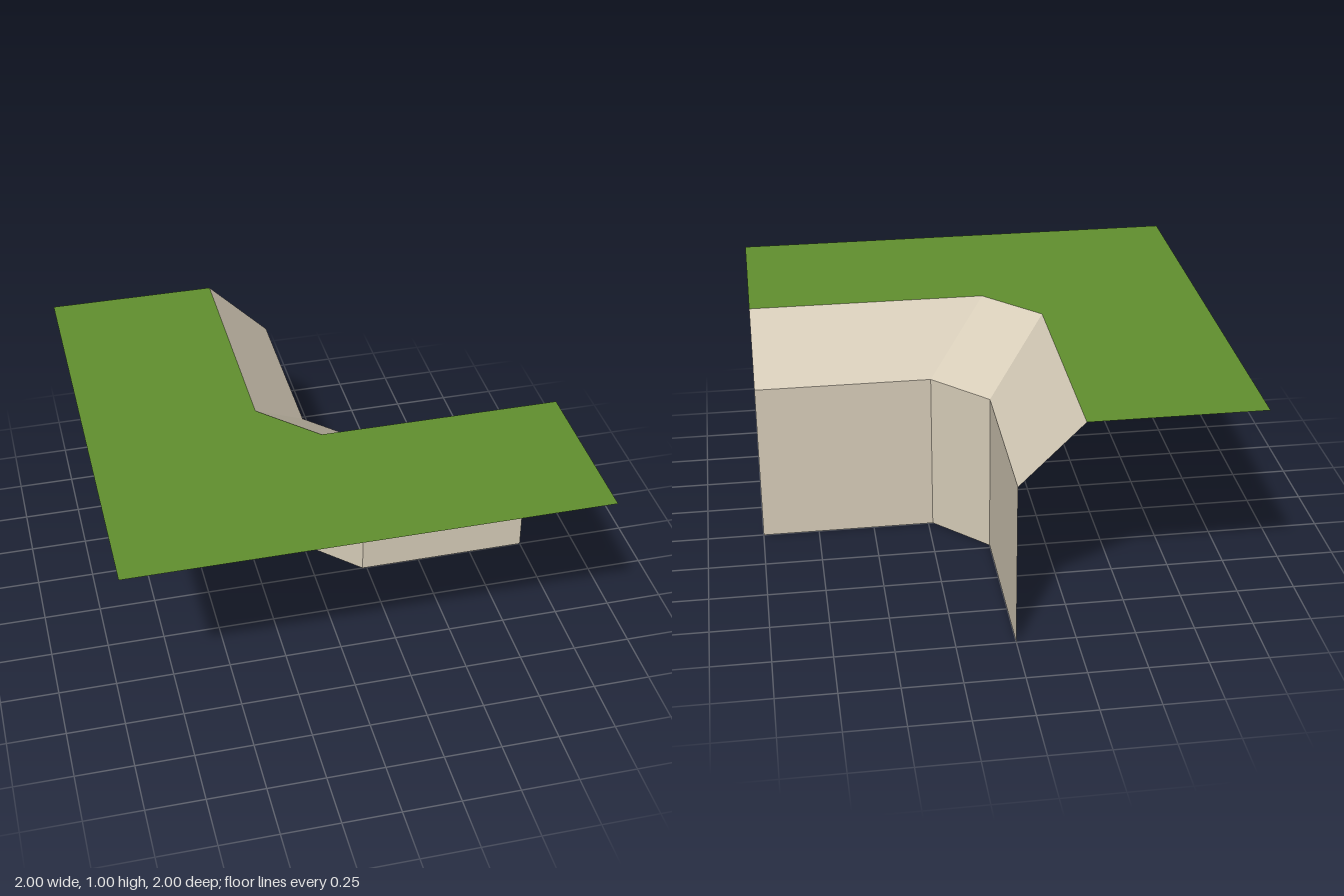
import * as THREE from 'three';

const stone = new THREE.MeshStandardMaterial({ name: 'stone', color: 0xd6ccb8, side: THREE.DoubleSide });
const grass = new THREE.MeshStandardMaterial({ name: 'grass', color: 0x61902e, side: THREE.DoubleSide });

// Plan outlines as [x, z]
const WALL = [[0, -1], [0, -0.23], [0.23, 0], [1, 0]];
const RIM = [[-0.268, -1], [-0.268, 0.035], [-0.035, 0.268], [1, 0.268]];
const WALL_TOP = 0.732;

// Flat-faced strip between two outlines at different heights
function strip(name, lower, y0, upper, y1) {
  const pos = [];
  for (let i = 0; i < lower.length - 1; i++) {
    const at = (p, y) => [p[0], y, p[1]];
    const a = at(lower[i], y0), b = at(upper[i], y1);
    const c = at(upper[i + 1], y1), d = at(lower[i + 1], y0);
    pos.push(...a, ...b, ...c, ...a, ...c, ...d);
  }
  const geo = new THREE.BufferGeometry();
  geo.setAttribute('position', new THREE.Float32BufferAttribute(pos, 3));
  geo.computeVertexNormals();
  const mesh = new THREE.Mesh(geo, stone);
  mesh.name = name;
  return mesh;
}

export function createModel() {
  const group = new THREE.Group();
  group.name = 'cliffCorner';

  // Vertical cliff face and the slope leaning back above it
  group.add(strip('cliffWall', WALL, 0, WALL, WALL_TOP));
  group.add(strip('cliffSlope', WALL, WALL_TOP, RIM, 1));

  // L-shaped grass plateau
  const outline = [...RIM, [1, 1], [-1, 1], [-1, -1]];
  const shape = new THREE.Shape(outline.map(([x, z]) => new THREE.Vector2(x, -z)));
  const plateau = new THREE.Mesh(new THREE.ShapeGeometry(shape).rotateX(-Math.PI / 2), grass);
  plateau.position.y = 1;
  plateau.name = 'grassPlateau';
  group.add(plateau);

  return group;
}
